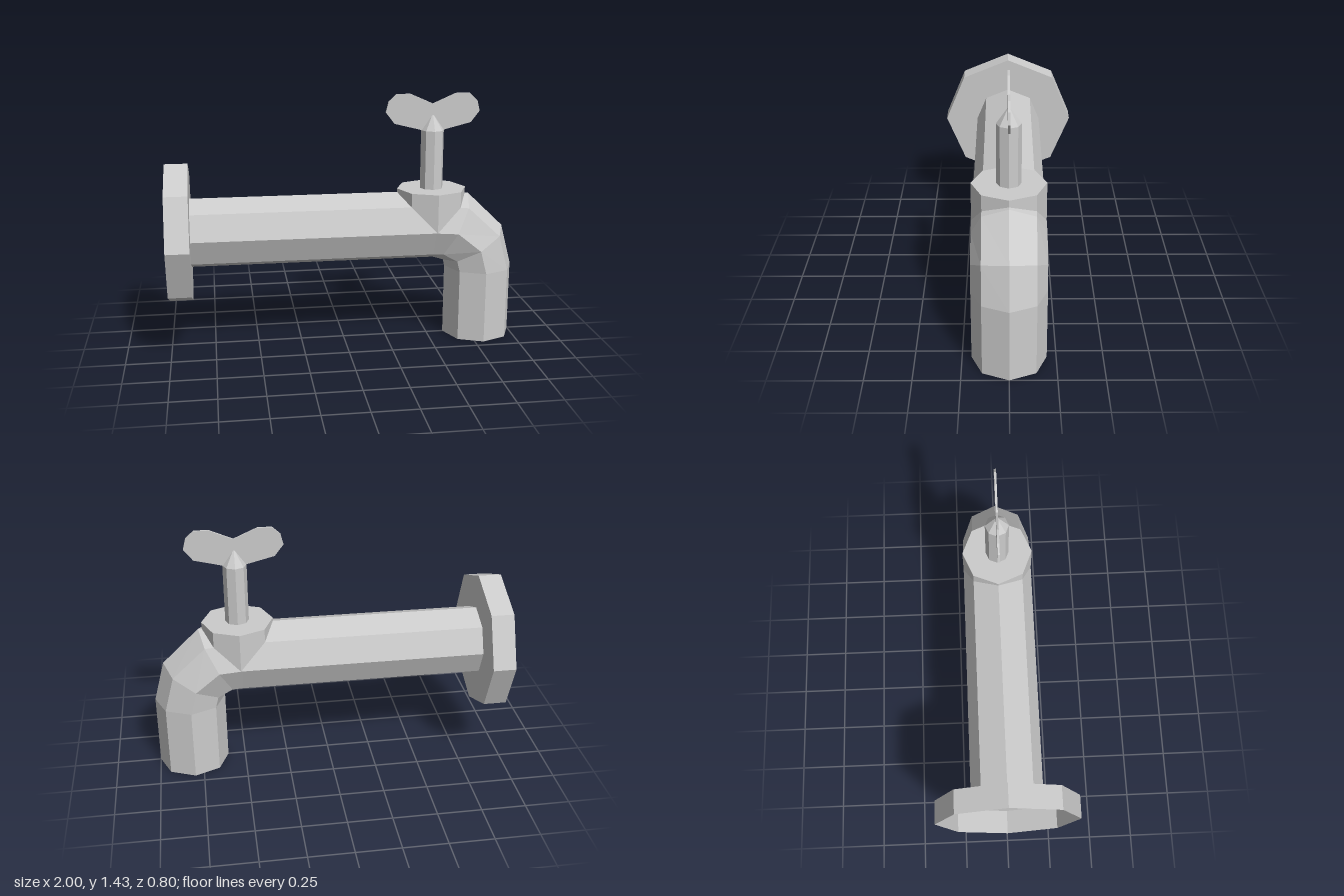
import * as THREE from 'three';

const SIDES = 8;
const AXIS_Y = 0.67;
const VALVE_X = 0.51;

const metal = new THREE.MeshStandardMaterial({ color: 0xcccccc, flatShading: true, side: THREE.DoubleSide });

function part(name, geometry, parent) {
  const mesh = new THREE.Mesh(geometry, metal);
  mesh.name = name;
  parent.add(mesh);
  return mesh;
}

// Skins octagonal rings lying along a path in the xy plane.
// Each section: [x, y, tilt from vertical, radius in the xy plane, radius in z]
function sweep(sections) {
  const positions = [];
  const index = [];
  for (const [x, y, tilt, r, rz] of sections) {
    for (let j = 0; j < SIDES; j++) {
      const a = (j / SIDES) * Math.PI * 2;
      const u = Math.cos(a) * r;
      positions.push(x + Math.sin(tilt) * u, y + Math.cos(tilt) * u, Math.sin(a) * rz);
    }
  }
  for (let i = 0; i < sections.length - 1; i++) {
    for (let j = 0; j < SIDES; j++) {
      const a = i * SIDES + j;
      const b = i * SIDES + ((j + 1) % SIDES);
      index.push(a, b, a + SIDES, b, b + SIDES, a + SIDES);
    }
  }
  const geometry = new THREE.BufferGeometry();
  geometry.setAttribute('position', new THREE.Float32BufferAttribute(positions, 3));
  geometry.setIndex(index);
  const flat = geometry.toNonIndexed();
  flat.computeVertexNormals();
  return flat;
}

// Octagonal collar whose lower edge follows the top of the pipe
function collarGeometry() {
  const geometry = new THREE.CylinderGeometry(0.2, 0.2, 1, SIDES, 1, true);
  const p = geometry.attributes.position;
  for (let i = 0; i < p.count; i++) {
    if (p.getY(i) > 0) {
      p.setY(i, 0.89);
      continue;
    }
    const z = Math.abs(p.getZ(i));
    const saddle = z < 0.07 ? 0.87 : z < 0.17 ? 0.81 : 0.67;
    // The pipe already starts to bend down on the spout side
    p.setY(i, saddle - (p.getX(i) > 0.05 ? 0.025 : 0));
  }
  geometry.computeVertexNormals();
  return geometry;
}

// Thin two-winged handle, mirrored about the stem
function handleGeometry() {
  const wing = [[0.06, 1.225], [0.22, 1.265], [0.27, 1.33], [0.255, 1.39], [0.21, 1.432], [0.13, 1.432]];
  const outline = [
    [0, 1.215],
    ...wing,
    [0, 1.375],
    ...wing.map(([x, y]) => [-x, y]).reverse(),
  ];
  const shape = new THREE.Shape(outline.map(([x, y]) => new THREE.Vector2(x, y)));
  const geometry = new THREE.ExtrudeGeometry(shape, { depth: 0.012, bevelEnabled: false });
  return geometry.translate(0, 0, -0.006);
}

export function createModel() {
  const tap = new THREE.Group();
  tap.name = 'tap';

  // Wall flange: hollow at the back, its front plate open into the pipe
  part('wallFlange', sweep([
    [-1, AXIS_Y, 0, 0.4, 0.4],
    [-0.87, AXIS_Y, 0, 0.4, 0.4],
    [-0.87, AXIS_Y, 0, 0.2, 0.2],
  ]), tap);

  // Straight pipe
  part('pipe', sweep([
    [-0.87, AXIS_Y, 0, 0.2, 0.2],
    [0.5, AXIS_Y, 0, 0.2, 0.2],
  ]), tap);

  // Bent spout with closed lower end
  part('spout', sweep([
    [0.5, AXIS_Y, 0, 0.2, 0.2],
    [0.63, 0.66, 0.485, 0.215, 0.2],
    [0.765, 0.55, 1.05, 0.2, 0.2],
    [0.8, 0.415, Math.PI / 2, 0.2, 0.2],
    [0.8, 0, Math.PI / 2, 0.2, 0.2],
    [0.8, 0, Math.PI / 2, 0, 0],
  ]), tap);

  // Valve: collar, stem with pointed tip, handle
  const valve = new THREE.Group();
  valve.name = 'valve';
  valve.position.x = VALVE_X;
  tap.add(valve);

  part('collar', collarGeometry(), valve);
  const top = part('collarTop', new THREE.CircleGeometry(0.2, SIDES), valve);
  top.rotation.x = -Math.PI / 2;
  top.position.y = 0.89;

  const stem = part('stem', new THREE.CylinderGeometry(0.066, 0.066, 0.335, SIDES, 1, true), valve);
  stem.position.y = 1.0575;
  const tip = part('stemTip', new THREE.ConeGeometry(0.066, 0.095, SIDES, 1, true), valve);
  tip.position.y = 1.2725;

  part('handle', handleGeometry(), valve);

  return tap;
}
